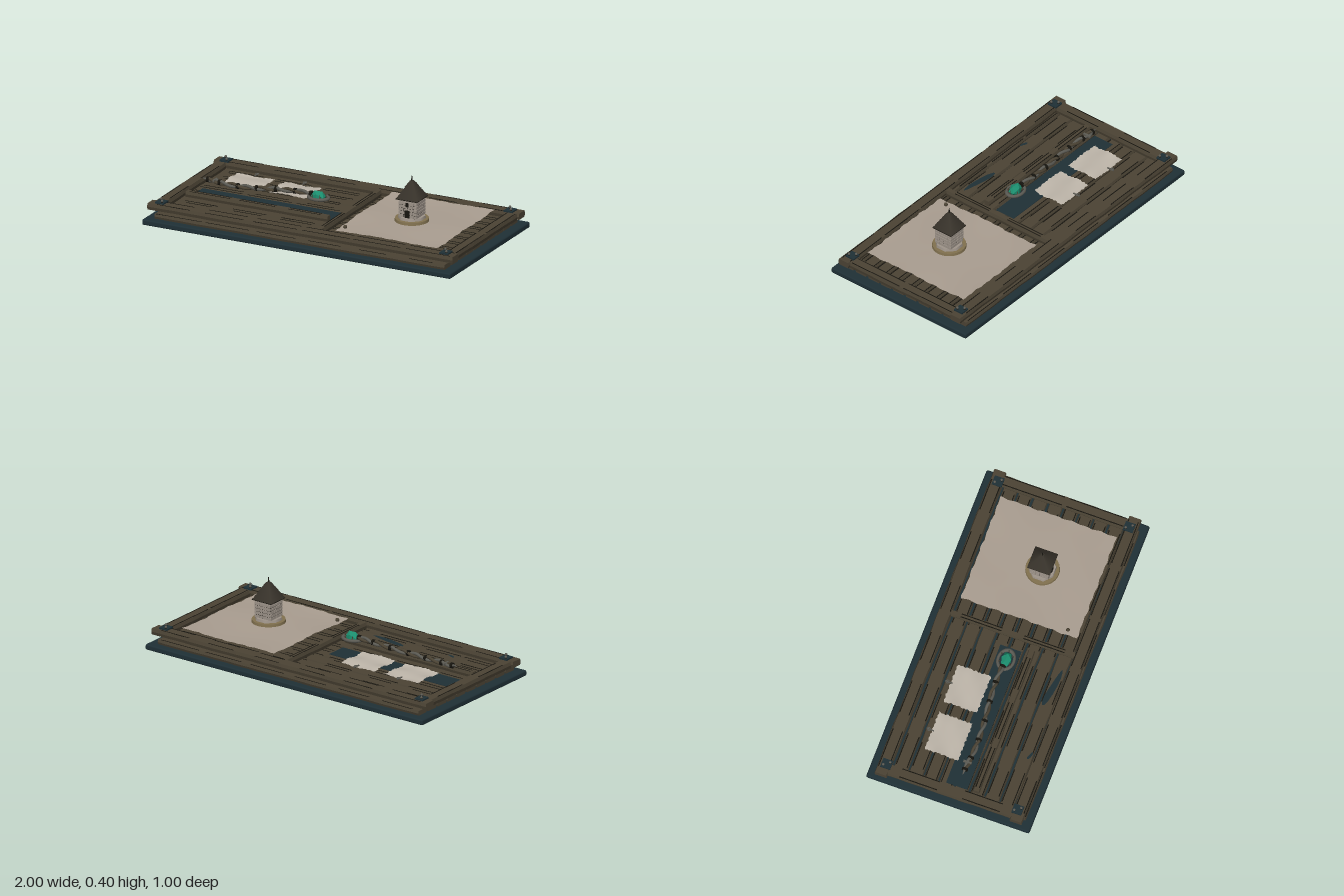
import * as THREE from 'three';
import { RoundedBoxGeometry } from 'three/addons/geometries/RoundedBoxGeometry.js';

const mat = (name, color, side = THREE.FrontSide) => {
  const m = new THREE.MeshStandardMaterial({ color, side });
  m.name = name;
  return m;
};

export function createModel() {
  const M = {
    slate: mat('dark slate', 0x1f3036),
    wood: mat('brown wood', 0x4b4334),
    ink: mat('dark edge', 0x17150f),
    map: mat('parchment', 0xa99d90, THREE.DoubleSide),
    note: mat('pale paper', 0xbdb5a9, THREE.DoubleSide),
    stone: mat('pale stone', 0x9d9389),
    roof: mat('roof shingle', 0x37322a),
    tan: mat('tan stand', 0x81714f),
    gem: mat('green gem', 0x1c8f6f),
    metal: mat('grey metal', 0x5c5b54),
  };
  const root = new THREE.Group();
  root.name = 'planningTable';

  const add = (name, geo, material, x = 0, y = 0, z = 0, parent = root) => {
    const m = new THREE.Mesh(geo, material);
    m.name = name;
    m.position.set(x, y, z);
    parent.add(m);
    return m;
  };
  const group = (name, x, y, z) => {
    const g = new THREE.Group();
    g.name = name;
    g.position.set(x, y, z);
    root.add(g);
    return g;
  };
  const box = (w, h, d) => new THREE.BoxGeometry(w, h, d);
  const wobble = (t, s) => Math.sin(t * 13 + s * 5.1) * 0.6 + Math.sin(t * 37 + s * 2.3) * 0.4;

  // Rough board along x: long edges wander, top edges are worn in
  const boardGeo = (len, h, w, seed) => {
    const g = box(len, h, w, 1);
    const b = new THREE.BoxGeometry(len, h, w, Math.ceil(len * 18), 2, 1).toNonIndexed();
    g.dispose();
    const p = b.attributes.position;
    for (let i = 0; i < p.count; i++) {
      const side = Math.sign(p.getZ(i));
      const inset = Math.abs(p.getY(i)) > h * 0.4 ? 0.005 : 0;
      p.setZ(i, p.getZ(i) - side * (inset + 0.0025 * (1 + wobble(p.getX(i), seed + side))));
    }
    b.computeVertexNormals();
    return b;
  };
  const board = (name, len, h, w, x, y, z, seed, alongZ = false) => {
    const g = group(name, x, y, z);
    add('timber', boardGeo(len, h, w, seed), M.wood, 0, 0, 0, g);
    // worn dark grain near each long edge
    for (const s of [-1, 1]) {
      const n = Math.max(2, Math.round(len * 3));
      for (let i = 0; i < n; i++) {
        const l = (len / n) * (0.7 + 0.25 * wobble(i, seed));
        add('grain', box(l, 0.002, 0.006), M.ink,
          -len / 2 + (i + 0.5) * len / n, h / 2, s * (w / 2 - 0.012 - 0.002 * wobble(i, seed + s)), g);
      }
    }
    if (alongZ) g.rotation.y = Math.PI / 2;
    return g;
  };

  // Slab and plank deck
  add('baseSlab', new RoundedBoxGeometry(2, 0.035, 1, 1, 0.01), M.slate, 0, 0.0175, 0);
  for (let i = 0; i < 10; i++)
    board('deckPlank', 1.88, 0.03, 0.088, 0, 0.049, (i - 4.5) * 0.093, i);

  // Recess under the staff and worn patches
  add('staffRecess', box(0.9, 0.003, 0.13), M.slate, -0.44, 0.066, 0.015);
  const patch = (x, z, l, w) => {
    const s = new THREE.Shape();
    const n = 14;
    for (let i = 0; i < n; i++) {
      const a = i / n * Math.PI * 2, r = 0.8 + 0.25 * wobble(i, 3);
      s[i ? 'lineTo' : 'moveTo'](Math.cos(a) * l * r, Math.sin(a) * w * r - Math.cos(a) * w * 0.7);
    }
    add('wornPatch', new THREE.ShapeGeometry(s).rotateX(-Math.PI / 2), M.slate, x, 0.067, z);
  };
  patch(-0.14, 0.32, 0.14, 0.026);
  patch(-0.57, 0.345, 0.03, 0.012);

  // Raised frame, divider and rail
  for (const s of [-1, 1]) {
    board('longBeam', 1.98, 0.038, 0.082, 0, 0.1, s * 0.413, 20 + s);
    board('endBeam', 0.77, 0.04, 0.075, s * 0.942, 0.096, 0, 30 + s, true);
  }
  board('divider', 0.77, 0.04, 0.042, 0.083, 0.096, 0, 40, true);
  board('rail', 0.92, 0.034, 0.046, -0.435, 0.096, 0.137, 41);

  // Corner plates with studs
  for (const sx of [-1, 1]) for (const sz of [-1, 1]) {
    const c = group('cornerPlate', sx * 0.922, 0.123, sz * 0.402);
    add('plate', box(0.056, 0.01, 0.06), M.slate, 0, 0, 0, c);
    for (const k of [-1, 1]) {
      add('studStem', new THREE.CylinderGeometry(0.005, 0.008, 0.008, 8), M.ink, k * 0.012, 0.007, k * 0.017, c);
      add('studHead', new THREE.SphereGeometry(0.008, 8, 6), M.metal, k * 0.012, 0.013, k * 0.017, c);
    }
  }

  // Wavy sheets with ragged edges
  const sheet = (name, w, d, material, x, y, z, amp, seed) => {
    const g = new THREE.PlaneGeometry(w, d, 28, 28).rotateX(-Math.PI / 2);
    const p = g.attributes.position;
    for (let i = 0; i < p.count; i++) {
      const u = p.getX(i) / w * 2, v = p.getZ(i) / d * 2;
      p.setXYZ(i,
        p.getX(i) - (Math.abs(u) > 0.99 ? u * 0.005 * (1 + wobble(v * 2, seed)) : 0),
        amp * (Math.sin(v * 5 + seed) * 0.6 + Math.sin(u * 4 + v * 2) * 0.4) * (0.3 + 0.7 * Math.max(u * u, v * v)),
        p.getZ(i) - (Math.abs(v) > 0.99 ? v * 0.005 * (1 + wobble(u * 2, seed + 1)) : 0));
    }
    g.computeVertexNormals();
    add(name, g, material, x, y, z);
  };
  sheet('mapSheet', 0.67, 0.72, M.map, 0.51, 0.122, 0, 0.006, 1);
  add('mapPin', new THREE.SphereGeometry(0.012, 8, 6), M.wood, 0.21, 0.124, 0.29);
  for (const [i, x] of [-0.64, -0.33].entries()) {
    sheet('note', 0.25, 0.215, M.note, x, 0.124, -0.127, 0.007, i + 2);
    const pin = group('notePin', x, 0.13, -0.24);
    add('pinShaft', box(0.007, 0.006, 0.045), M.metal, 0, 0, 0, pin);
    add('pinHead', new THREE.TorusGeometry(0.01, 0.003, 6, 10).rotateX(Math.PI / 2), M.metal, 0, 0.003, -0.008, pin);
  }

  // Gnarled staff: two twisted strands with knots and bands
  const staff = group('staff', 0, 0, 0);
  const spine = (t) => new THREE.Vector3(-0.81 + 0.66 * t,
    0.163 - 0.008 * Math.sin(t * 5) + 0.012 * t, 0.033 + 0.014 * Math.sin(t * 5.2 + 0.2));
  for (let k = 0; k < 2; k++) {
    const pts = [];
    for (let i = 0; i <= 40; i++) {
      const t = i / 40, a = t * 24 + k * Math.PI;
      pts.push(spine(t).add(new THREE.Vector3(0, Math.cos(a) * 0.008, Math.sin(a) * 0.009)));
    }
    add('strand', new THREE.TubeGeometry(new THREE.CatmullRomCurve3(pts), 120, 0.009, 7), k ? M.metal : M.wood, 0, 0, 0, staff);
  }
  for (const t of [0, 0.12, 0.3, 0.48, 0.66, 0.84, 1]) {
    const p = spine(t);
    add('band', new THREE.CylinderGeometry(0.018, 0.018, 0.014, 8).rotateZ(Math.PI / 2), M.ink, p.x, p.y, p.z, staff);
  }
  add('tailTip', new THREE.ConeGeometry(0.012, 0.05, 7).rotateZ(Math.PI / 2), M.metal, -0.825, 0.165, 0.035, staff);
  add('tailGuard', box(0.012, 0.012, 0.05), M.metal, -0.765, 0.165, 0.035, staff);
  // Head: open ring, claws and faceted gem
  add('headRing', new THREE.TorusGeometry(0.052, 0.01, 7, 24).rotateX(Math.PI / 2).scale(1.15, 1, 0.9), M.metal, -0.1, 0.168, 0.025, staff);
  for (let i = 0; i < 6; i++) {
    const a = i / 6 * Math.PI * 2;
    const claw = add('claw', new THREE.ConeGeometry(0.008, 0.04, 6), M.wood,
      -0.1 + Math.cos(a) * 0.052, 0.178, 0.025 + Math.sin(a) * 0.04, staff);
    claw.rotation.set(-Math.sin(a) * 0.5, 0, Math.cos(a) * 0.5);
  }
  add('gem', new THREE.IcosahedronGeometry(0.04, 0).scale(1.2, 0.95, 0.85), M.gem, -0.1, 0.175, 0.027, staff);

  // Watchtower on its round stand
  const tower = group('watchtower', 0.505, 0, 0.025);
  add('standFoot', new THREE.CylinderGeometry(0.055, 0.055, 0.012, 20), M.tan, 0, 0.125, 0, tower);
  add('stand', new THREE.CylinderGeometry(0.098, 0.1, 0.016, 32), M.tan, 0, 0.138, 0, tower);
  add('plinth', new THREE.CylinderGeometry(0.078, 0.082, 0.016, 8).rotateY(Math.PI / 8), M.stone, 0, 0.153, 0, tower);
  add('towerCore', box(0.108, 0.12, 0.108), M.stone, 0, 0.22, 0, tower);
  // stone courses on all four walls
  for (let f = 0; f < 4; f++) {
    const wall = new THREE.Group();
    wall.name = 'wall';
    wall.rotation.y = f * Math.PI / 2;
    tower.add(wall);
    add('mortar', box(0.106, 0.09, 0.002), M.ink, 0, 0.205, 0.0542, wall);
    for (let r = 0; r < 5; r++) for (let c = 0; c < 4; c++) {
      const w = r % 2 ? [0.018, 0.036, 0.03, 0.022][c] : [0.032, 0.022, 0.036, 0.016][c];
      const x0 = r % 2 ? [-0.047, -0.018, 0.017, 0.045][c] : [-0.04, -0.011, 0.02, 0.048][c];
      add('stoneBlock', box(w, 0.016, 0.007 + 0.002 * wobble(r + c, f)), M.stone, x0, 0.17 + r * 0.019, 0.055, wall);
    }
    add('wallTop', box(0.11, 0.02, 0.004), M.stone, 0, 0.262, 0.054, wall);
  }
  // door and window on the front
  add('door', box(0.028, 0.045, 0.004), M.ink, 0, 0.184, 0.06, tower);
  add('window', box(0.02, 0.025, 0.004), M.ink, 0, 0.24, 0.06, tower);
  // shingled roof in overlapping tiers
  const tiers = 6;
  const half = (t) => 0.07 * (1 - t) + 0.012 * t;
  for (let i = 0; i < tiers; i++) {
    const lo = half(i / tiers) * Math.SQRT2, hi = (half((i + 1) / tiers) - 0.003) * Math.SQRT2;
    add('roofTier', new THREE.CylinderGeometry(hi, lo, 0.0175, 4).rotateY(Math.PI / 4).toNonIndexed(),
      M.roof, 0, 0.278 + i * 0.017, 0, tower);
  }
  add('eaves', box(0.138, 0.005, 0.138), M.ink, 0, 0.269, 0, tower);
  add('finial', new THREE.CylinderGeometry(0.002, 0.005, 0.035, 6), M.ink, 0, 0.385, 0, tower);

  return root;
}
